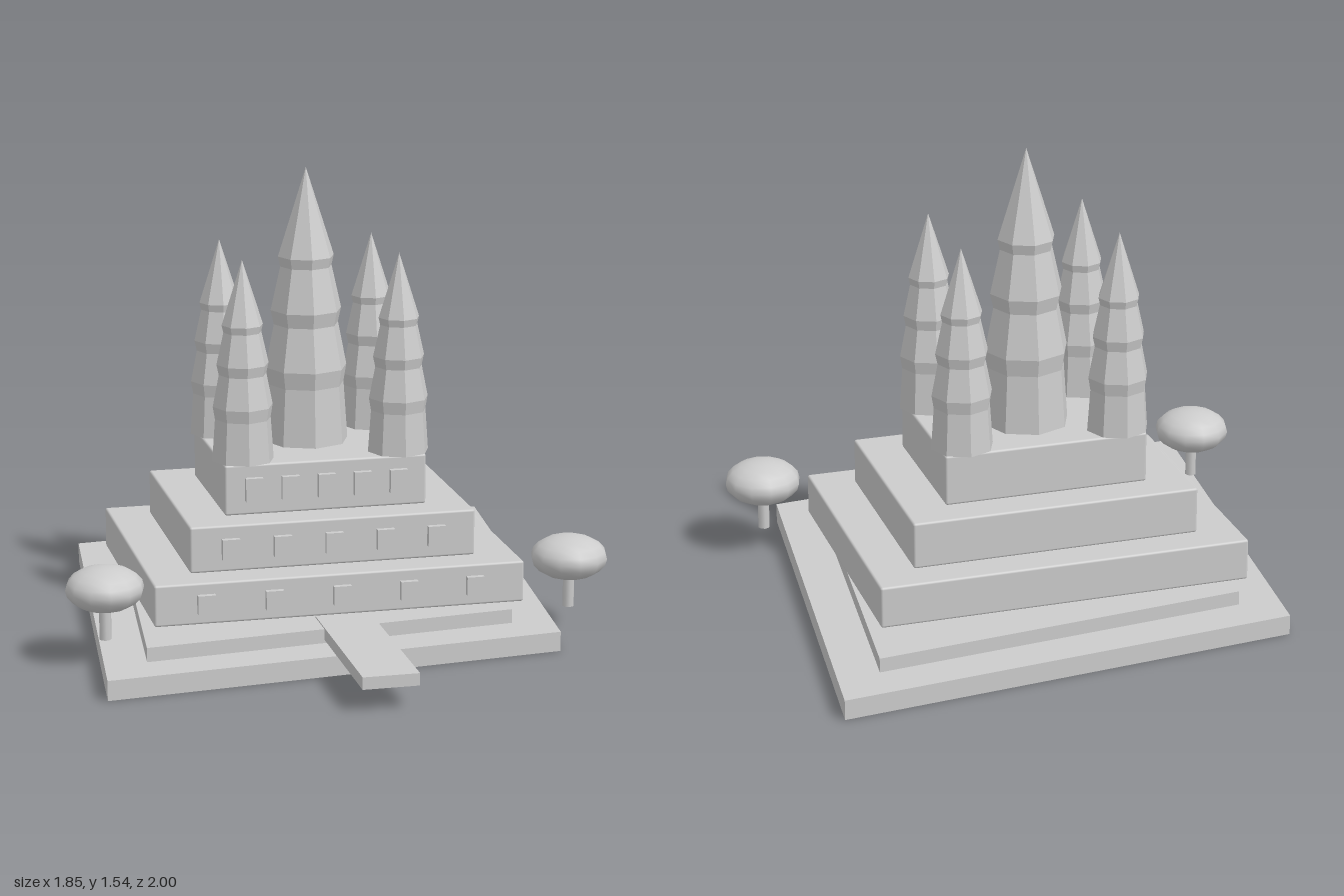
import * as THREE from 'three';
import { RoundedBoxGeometry } from 'three/addons/geometries/RoundedBoxGeometry.js';

const stone = new THREE.MeshStandardMaterial({ color: 0xcccccc });
stone.name = 'stone';

const CENTER_Z = -0.147;

export function createModel() {
  const model = new THREE.Group();
  model.name = 'temple';

  const add = (name, geometry, x, y, z, parent = model) => {
    const mesh = new THREE.Mesh(geometry, stone);
    mesh.name = name;
    mesh.position.set(x, y, z);
    parent.add(mesh);
    return mesh;
  };

  // Skewed ground slabs: a = half extent of the short diagonal, b = of the long one
  const slab = (name, a, b, y, height) => {
    const shape = new THREE.Shape([
      new THREE.Vector2(a, -a), new THREE.Vector2(b, b),
      new THREE.Vector2(-a, a), new THREE.Vector2(-b, -b),
    ]);
    const geometry = new THREE.ExtrudeGeometry(shape, { depth: height, bevelEnabled: false });
    geometry.rotateX(-Math.PI / 2);
    add(name, geometry, 0, y, -0.15);
  };
  slab('lowerSlab', 0.7, 0.85, 0, 0.067);
  slab('upperSlab', 0.57, 0.695, 0.067, 0.048);

  // Stepped tiers, each with a row of five raised windows on the front
  const tiers = [
    { w: 1.266, d: 0.982, y0: 0.115, y1: 0.257, step: 0.23, winY: 0.186, winH: 0.064 },
    { w: 0.982, d: 0.76, y0: 0.257, y1: 0.416, step: 0.177, winY: 0.336, winH: 0.07 },
    { w: 0.698, d: 0.535, y0: 0.416, y1: 0.59, step: 0.125, winY: 0.505, winH: 0.08 },
  ];
  tiers.forEach(({ w, d, y0, y1, step, winY, winH }, i) => {
    const tier = new THREE.Group();
    tier.name = `tier${i + 1}`;
    model.add(tier);
    add('tierBlock', new RoundedBoxGeometry(w, y1 - y0, d, 2, 0.008), 0, (y0 + y1) / 2, CENTER_Z, tier);
    for (let k = -2; k <= 2; k++) {
      add('window', new THREE.BoxGeometry(0.06, winH, 0.04), k * step, winY, CENTER_Z + d / 2, tier);
    }
  });

  // Entrance walkway
  add('walkway', new THREE.BoxGeometry(0.186, 0.041, 0.645), 0, 0.099, 0.6775);

  // Eight-sided towers with flared rings, as [radius, height] from the tier top
  const profile = [
    [0, 0], [0.147, 0], [0.133, 0.2], [0.143, 0.26], [0.113, 0.41],
    [0.124, 0.46], [0.09, 0.61], [0.098, 0.645], [0, 0.95],
  ].map(([r, y]) => new THREE.Vector2(r, y));
  const towerGeometry = new THREE.LatheGeometry(profile, 8).toNonIndexed();
  towerGeometry.computeVertexNormals();

  add('centralTower', towerGeometry, 0, 0.59, -0.18);
  for (const x of [-0.27, 0.27]) {
    for (const z of [0.044, -0.338]) {
      add('cornerTower', towerGeometry, x, 0.59, z).scale.setScalar(0.72);
    }
  }

  // Trees either side of the walkway
  for (const x of [-0.795, 0.795]) {
    const tree = new THREE.Group();
    tree.name = 'tree';
    tree.position.set(x, 0, 0.332);
    model.add(tree);
    add('trunk', new THREE.CylinderGeometry(0.02, 0.02, 0.125, 8), 0, 0.1475, 0, tree);
    add('crown', new THREE.SphereGeometry(0.131, 12, 10), 0, 0.259, 0, tree).scale.y = 0.575;
  }

  return model;
}
